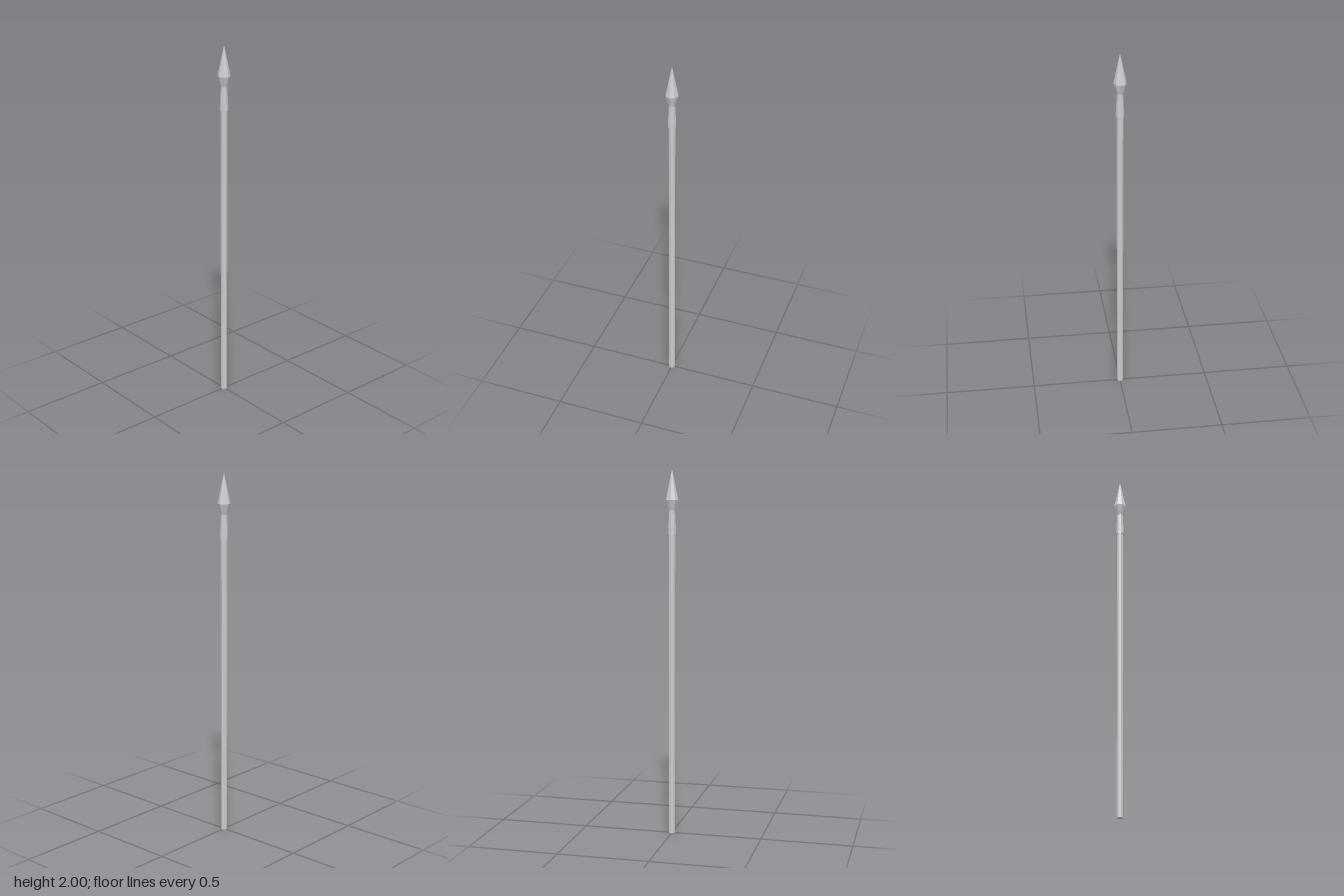
import * as THREE from 'three';

const SIDES = 8;

export function createModel() {
  const model = new THREE.Group();
  model.name = 'spear';
  const material = new THREE.MeshStandardMaterial({ color: 0xcccccc, flatShading: true });

  // Eight-sided part from a [radius, height] profile, listed bottom to top
  const addTurned = (name, profile) => {
    const points = profile.map(([r, y]) => new THREE.Vector2(r, y));
    const mesh = new THREE.Mesh(new THREE.LatheGeometry(points, SIDES), material);
    mesh.name = name;
    model.add(mesh);
  };

  // Long straight pole, capped at the bottom and ending inside the socket
  addTurned('shaft', [[0, 0], [0.018, 0], [0.018, 1.68], [0, 1.68]]);

  // Collar that grips the pole and tapers to the neck
  addTurned('socket', [[0, 1.655], [0.023, 1.655], [0.022, 1.69], [0.017, 1.78]]);

  // Pointed head flaring out from the neck
  addTurned('spearhead', [[0.017, 1.78], [0.035, 1.837], [0, 2]]);

  return model;
}
